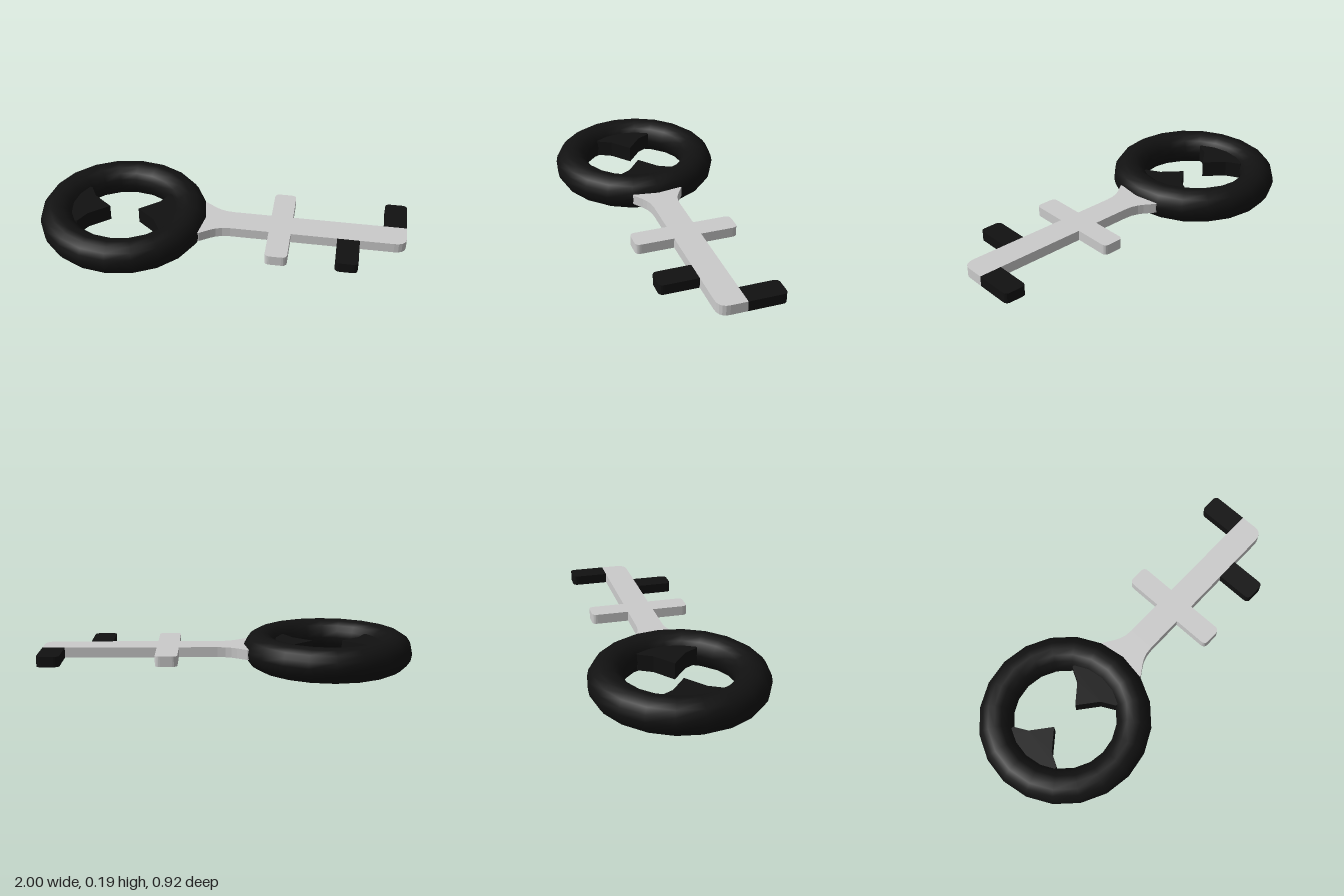
import * as THREE from 'three';

const grey = new THREE.MeshStandardMaterial({ color: 0xcccccc });
const black = new THREE.MeshStandardMaterial({ color: 0x111111 });
const MID = 0.093;
const RING_X = -0.54;

// Extrudes a plan outline (shape y = -z) upwards, centred on the mid height
function slab(name, shape, height, material) {
  const geo = new THREE.ExtrudeGeometry(shape, { depth: height, bevelEnabled: false, curveSegments: 5 });
  geo.rotateX(-Math.PI / 2);
  geo.translate(0, MID - height / 2, 0);
  const mesh = new THREE.Mesh(geo, material);
  mesh.name = name;
  return mesh;
}

// Bar outline reaching sideways from z0 to z1, with rounded outer corners
function barShape(x0, x1, z0, z1, r = 0.028) {
  const s = Math.sign(z1 - z0);
  const p = new THREE.Shape();
  p.moveTo(x0, -z0);
  p.lineTo(x1, -z0);
  p.lineTo(x1, -(z1 - s * r));
  p.quadraticCurveTo(x1, -z1, x1 - r, -z1);
  p.lineTo(x0 + r, -z1);
  p.quadraticCurveTo(x0, -z1, x0, -(z1 - s * r));
  p.closePath();
  return p;
}

export function createModel() {
  const key = new THREE.Group();
  key.name = 'key';

  // Ring handle
  const ringGeo = new THREE.TorusGeometry(0.367, MID, 16, 20);
  ringGeo.rotateX(Math.PI / 2);
  const ring = new THREE.Mesh(ringGeo, black);
  ring.name = 'ringHandle';
  ring.position.set(RING_X, MID, 0);
  key.add(ring);

  // Two pointed teeth facing each other inside the ring
  for (const s of [-1, 1]) {
    const tooth = new THREE.Shape();
    const pts = [[0.08, 0], [0.185, 0.085], [0.225, 0.16], [0.3, 0.16],
      [0.3, -0.16], [0.225, -0.16], [0.185, -0.085]];
    tooth.setFromPoints(pts.map(([x, y]) => new THREE.Vector2(RING_X + s * x, y)));
    key.add(slab(s < 0 ? 'rightRingTooth' : 'leftRingTooth', tooth, 0.09, black));
  }

  // Shaft, flaring into the ring, with one rounded corner at the tip
  const shaft = new THREE.Shape();
  shaft.moveTo(-0.2, -0.14);
  shaft.lineTo(-0.1, -0.14);
  shaft.bezierCurveTo(-0.05, -0.11, -0.02, -0.073, 0.06, -0.073);
  shaft.lineTo(0.935, -0.073);
  shaft.quadraticCurveTo(1, -0.073, 1, -0.015);
  shaft.lineTo(1, 0.073);
  shaft.lineTo(0.06, 0.073);
  shaft.bezierCurveTo(-0.02, 0.073, -0.05, 0.11, -0.1, 0.14);
  shaft.lineTo(-0.2, 0.14);
  shaft.closePath();
  key.add(slab('shaft', shaft, 0.055, grey));

  // Cross bar and key bits
  for (const s of [-1, 1]) {
    key.add(slab(s < 0 ? 'backCrossBar' : 'frontCrossBar',
      barShape(0.268, 0.386, s * 0.073, s * 0.277), 0.055, grey));
  }
  key.add(slab('frontBit', barShape(0.634, 0.754, 0.073, 0.277), 0.055, black));
  key.add(slab('backBit', barShape(0.88, 1, -0.073, -0.277), 0.055, black));

  return key;
}
